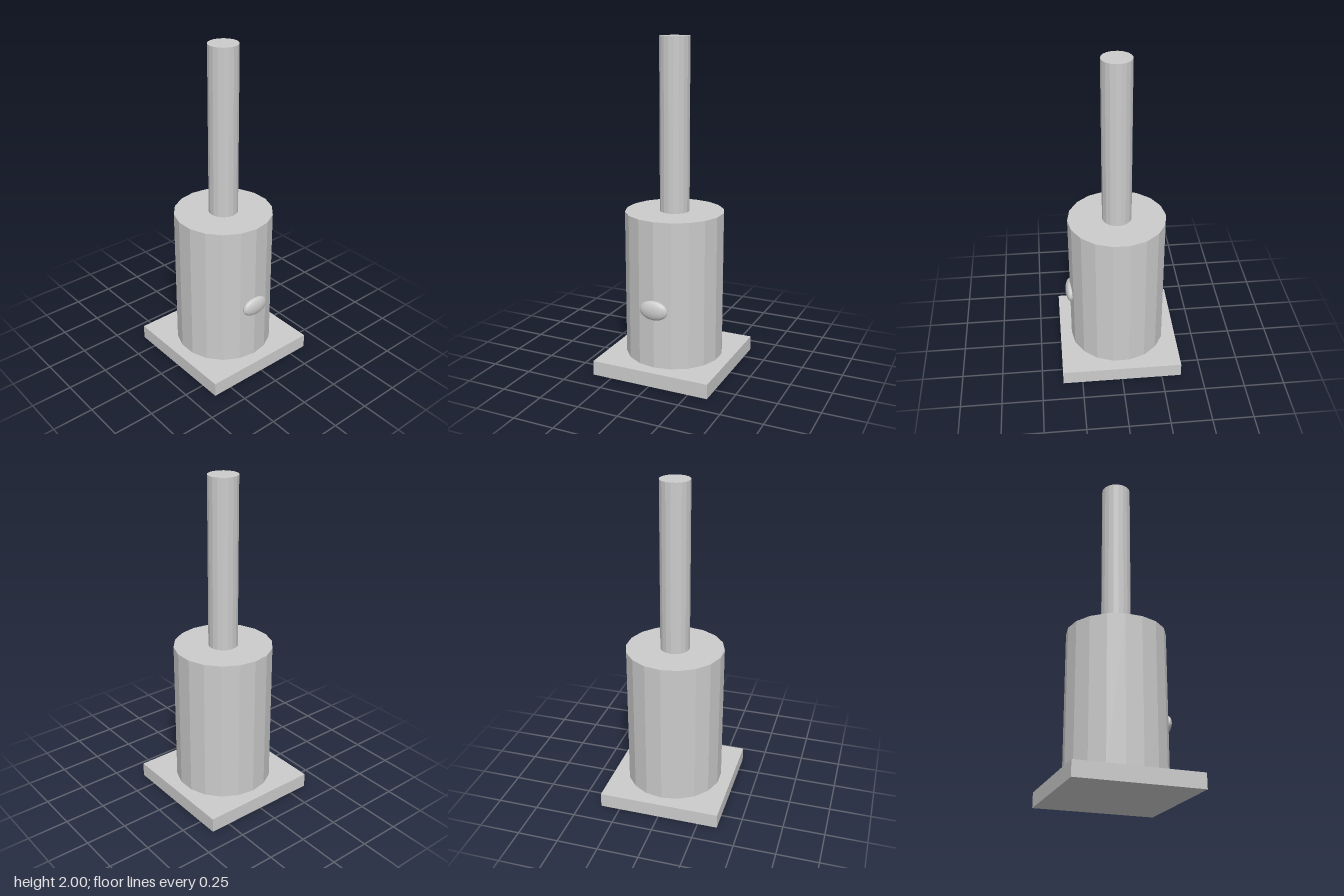
import * as THREE from 'three';

const SIDES = 18;

export function createModel() {
  const group = new THREE.Group();
  const material = new THREE.MeshStandardMaterial({ color: 0xcccccc, flatShading: true });

  function add(name, geometry, y, z = 0) {
    const mesh = new THREE.Mesh(geometry, material);
    mesh.name = name;
    mesh.position.set(0, y, z);
    group.add(mesh);
    return mesh;
  }

  // Upright prism with a corner facing the front, from y0 to y1
  function column(name, radius, y0, y1) {
    return add(name, new THREE.CylinderGeometry(radius, radius, y1 - y0, SIDES), (y0 + y1) / 2);
  }

  // Square foot plate
  add('basePlate', new THREE.BoxGeometry(0.74, 0.089, 0.74), 0.0445);

  // Wide body and the thin rod above it
  column('body', 0.297, 0.089, 0.98);
  column('rod', 0.089, 0.98, 2);

  // Flattened oval button, half sunk into the front of the body
  const button = add('frontButton', new THREE.SphereGeometry(1, 20, 16), 0.448, 0.296);
  button.scale.set(0.089, 0.059, 0.03);

  return group;
}
